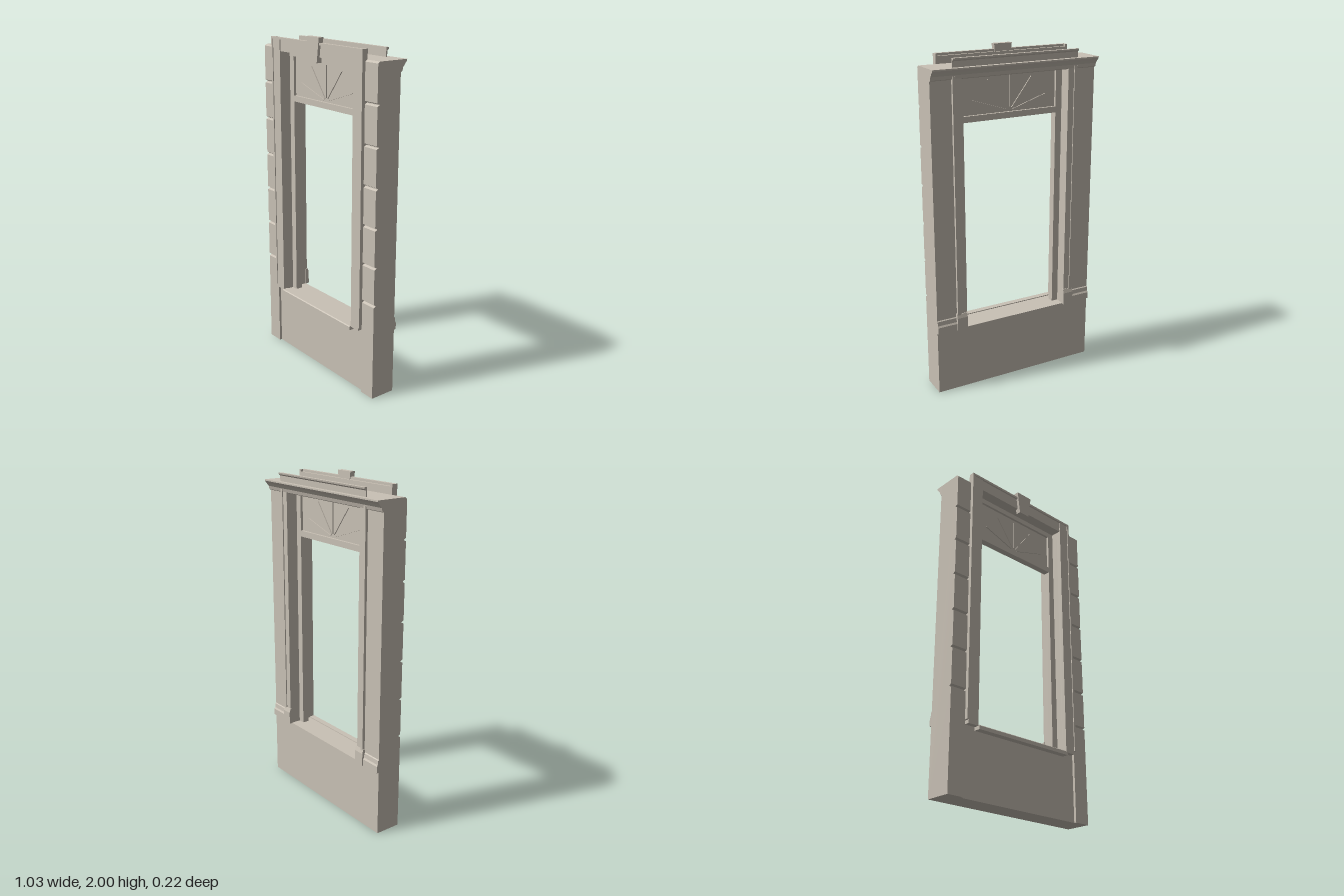
import * as THREE from 'three';

export function createModel() {
  const root = new THREE.Group();
  const stone = new THREE.MeshStandardMaterial({ color: 0xc9c1b5 });
  stone.name = 'warm stone';

  const add = (name, geometry) => {
    const mesh = new THREE.Mesh(geometry, stone);
    mesh.name = name;
    root.add(mesh);
    return mesh;
  };
  // Box given by its limits on each axis
  const box = (name, x0, x1, y0, y1, z0, z1) =>
    add(name, new THREE.BoxGeometry(x1 - x0, y1 - y0, z1 - z0)
      .translate((x0 + x1) / 2, (y0 + y1) / 2, (z0 + z1) / 2));
  // Outline of [z, y] points swept along x
  const sweepX = (name, points, x0, x1) => {
    const shape = new THREE.Shape(points.map(([z, y]) => new THREE.Vector2(z, y)));
    const geometry = new THREE.ExtrudeGeometry(shape, { depth: x1 - x0, bevelEnabled: false });
    return add(name, geometry.rotateY(-Math.PI / 2).translate(x1, 0, 0));
  };
  // Outline of [x, y] points, with optional holes, swept along z
  const sweepZ = (name, points, z0, z1, holes = []) => {
    const v = (list) => list.map(([x, y]) => new THREE.Vector2(x, y));
    const shape = new THREE.Shape(v(points));
    holes.forEach((hole) => shape.holes.push(new THREE.Path(v(hole))));
    const geometry = new THREE.ExtrudeGeometry(shape, { depth: z1 - z0, bevelEnabled: false });
    return add(name, geometry.translate(0, 0, z0));
  };
  const rect = (x, y0, y1) => [[-x, y0], [x, y0], [x, y1], [-x, y1]];

  // Wall between the piers, with the window opening
  sweepZ('wall', rect(0.415, 0, 1.915), -0.07, 0.07, [rect(0.335, 0.39, 1.89)]);

  // Piers with V grooves between the stone courses
  const pier = [[-0.07, 0], [0.085, 0]];
  for (let i = 0; i < 6; i++) {
    const y = 0.575 + i * 0.224;
    pier.push([0.085, y - 0.009], [0.071, y - 0.002], [0.071, y + 0.002], [0.085, y + 0.009]);
  }
  pier.push([0.085, 1.906], [0.072, 1.915], [-0.07, 1.915]);

  // Stepped skirting and plinth outlines on the back
  const skirting = [[-0.07, 0.39], [-0.07, 0.47], [-0.075, 0.465], [-0.078, 0.44], [-0.084, 0.43], [-0.084, 0.39]];
  const plinth = [[-0.07, 0.39], [-0.07, 0.49], [-0.084, 0.49], [-0.091, 0.465], [-0.091, 0.39]];

  for (const s of [-1, 1]) {
    const span = (a, b) => (s > 0 ? [a, b] : [-b, -a]);
    sweepX('pier', pier, ...span(0.415, 0.515));
    // Front architrave: flat jamb and raised outer bead
    box('frontJamb', ...span(0.335, 0.402), 0.39, 1.957, 0.07, 0.1);
    box('frontJambBead', ...span(0.402, 0.415), 0.41, 1.97, 0.07, 0.105);
    // Back casing: stepped strip, plinth block and skirting
    box('backCasing', ...span(0.335, 0.372), 0.39, 1.87, -0.08, -0.07);
    box('backCasingBead', ...span(0.372, 0.39), 0.39, 1.87, -0.086, -0.07);
    sweepX('casingPlinth', plinth, ...span(0.33, 0.395));
    sweepX('skirting', skirting, ...span(0.395, 0.515));
    // Window stile
    box('windowStile', ...span(0.295, 0.335), 0.39, 1.89, -0.01, 0.03);
  }

  // Front head of the architrave
  box('frontLintel', -0.335, 0.335, 1.89, 1.957, 0.07, 0.095);
  box('frontHeadBead', -0.402, 0.402, 1.957, 1.97, 0.085, 0.105);

  // Tapered keystone
  sweepZ('keystone', [[-0.037, 1.86], [0.037, 1.86], [0.056, 2], [-0.056, 2]], 0.08, 0.112);

  // Projecting sill
  sweepX('sill', [[0.07, 0.37], [0.11, 0.37], [0.11, 0.39], [0.105, 0.395], [0.07, 0.395]], -0.335, 0.335);

  // Transom rails and recessed panel
  box('transomRail', -0.295, 0.295, 1.595, 1.63, -0.01, 0.03);
  box('topRail', -0.295, 0.295, 1.86, 1.89, -0.01, 0.03);
  box('transomPanel', -0.295, 0.295, 1.63, 1.86, 0.005, 0.015);

  // Sunburst ribs showing on both faces of the panel
  const rays = [[18, 0.245], [53, 0.23], [90, 0.205], [127, 0.23], [162, 0.245]];
  for (const [degrees, length] of rays) {
    const inner = 0.02;
    const ray = add('sunburstRib', new THREE.BoxGeometry(length - inner, 0.004, 0.022)
      .translate((length + inner) / 2, 0, 0));
    ray.position.set(0, 1.635, 0.01);
    ray.rotation.z = THREE.MathUtils.degToRad(degrees);
  }

  // Back cornice and the capped strip above it
  sweepX('backCornice', [[-0.07, 1.85], [-0.07, 1.915], [-0.112, 1.915], [-0.112, 1.907],
    [-0.1, 1.893], [-0.086, 1.875], [-0.08, 1.855]], -0.515, 0.515);
  sweepX('backHeader', [[-0.078, 1.91], [-0.078, 1.965], [-0.098, 1.965], [-0.096, 1.956],
    [-0.086, 1.948], [-0.085, 1.91]], -0.39, 0.39);

  return root;
}
